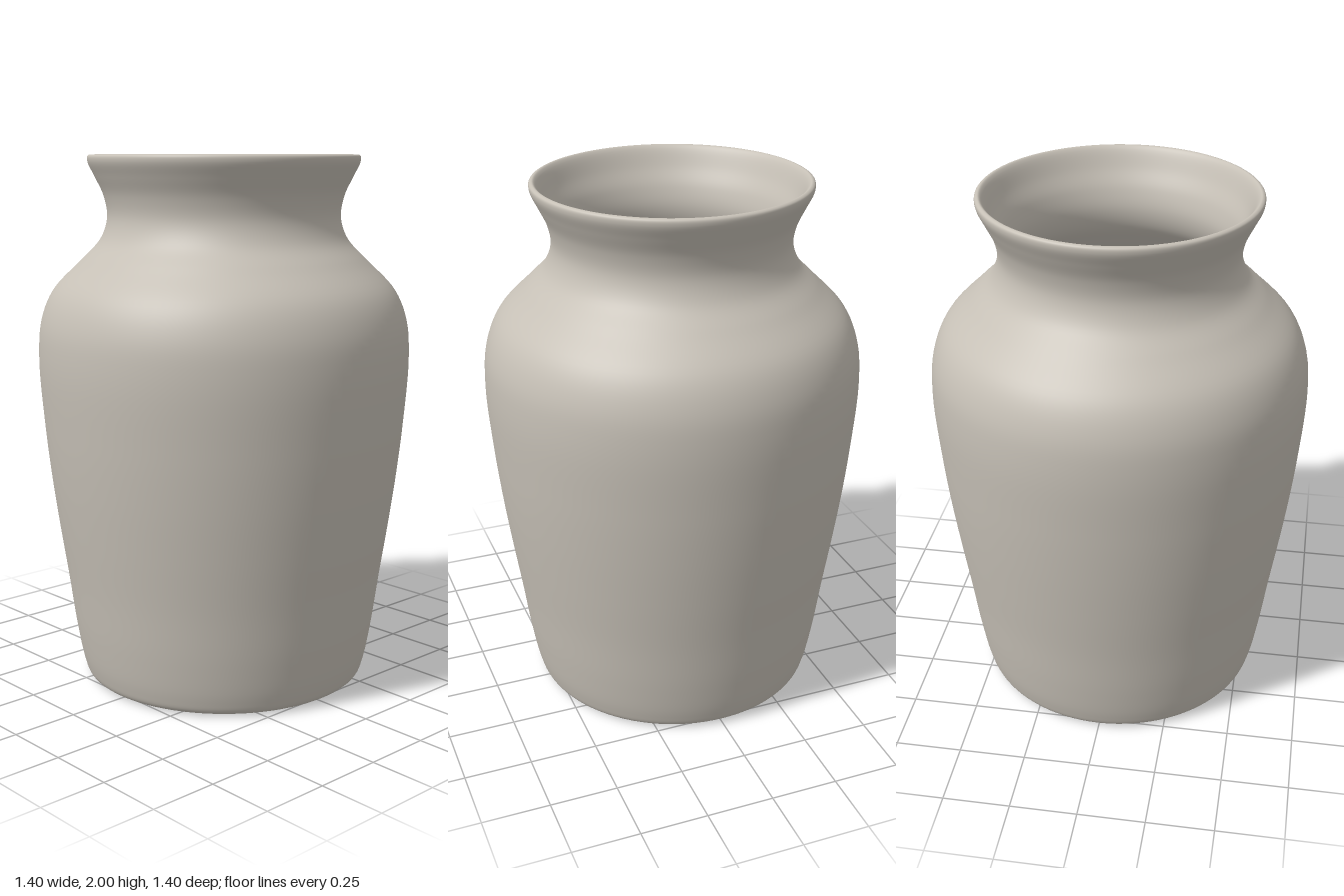
import * as THREE from 'three';

// Smooth 2D profile through a few [radius, height] points
function smoothProfile(points, divisions) {
  const curve = new THREE.CatmullRomCurve3(
    points.map(([r, y]) => new THREE.Vector3(r, y, 0)), false, 'centripetal');
  return curve.getPoints(divisions).map(p => new THREE.Vector2(Math.max(p.x, 0), p.y));
}

export function createModel() {
  const group = new THREE.Group();
  group.name = 'vase';
  const clay = new THREE.MeshStandardMaterial({ color: 0xc6c0b6 });
  clay.name = 'warm grey clay';

  // One closed wall: recessed foot, outer body, rounded lip, inner wall, floor
  const profile = [
    // foot
    [0, 0.025], [0.2, 0.025], [0.32, 0.024], [0.37, 0.012], [0.42, 0.002],
    [0.5, 0.002], [0.535, 0.015], [0.553, 0.06],
    // outer body and shoulder
    [0.58, 0.2], [0.608, 0.4], [0.638, 0.6], [0.665, 0.8], [0.686, 1.0],
    [0.702, 1.25], [0.69, 1.39], [0.645, 1.5], [0.54, 1.61], [0.465, 1.69],
    // neck and flared lip
    [0.438, 1.77], [0.45, 1.85], [0.482, 1.92], [0.507, 1.973],
    [0.507, 1.994], [0.495, 2.0], [0.482, 1.988],
    // inner wall
    [0.452, 1.92], [0.42, 1.85], [0.408, 1.77], [0.432, 1.69], [0.51, 1.6],
    [0.615, 1.485], [0.658, 1.38], [0.67, 1.25], [0.655, 1.0], [0.607, 0.6],
    [0.55, 0.2], [0.525, 0.09], [0.47, 0.06], [0.3, 0.055], [0, 0.055],
  ];
  const wall = new THREE.Mesh(
    new THREE.LatheGeometry(smoothProfile(profile, 240), 96), clay);
  wall.name = 'vaseBody';
  group.add(wall);
  return group;
}
